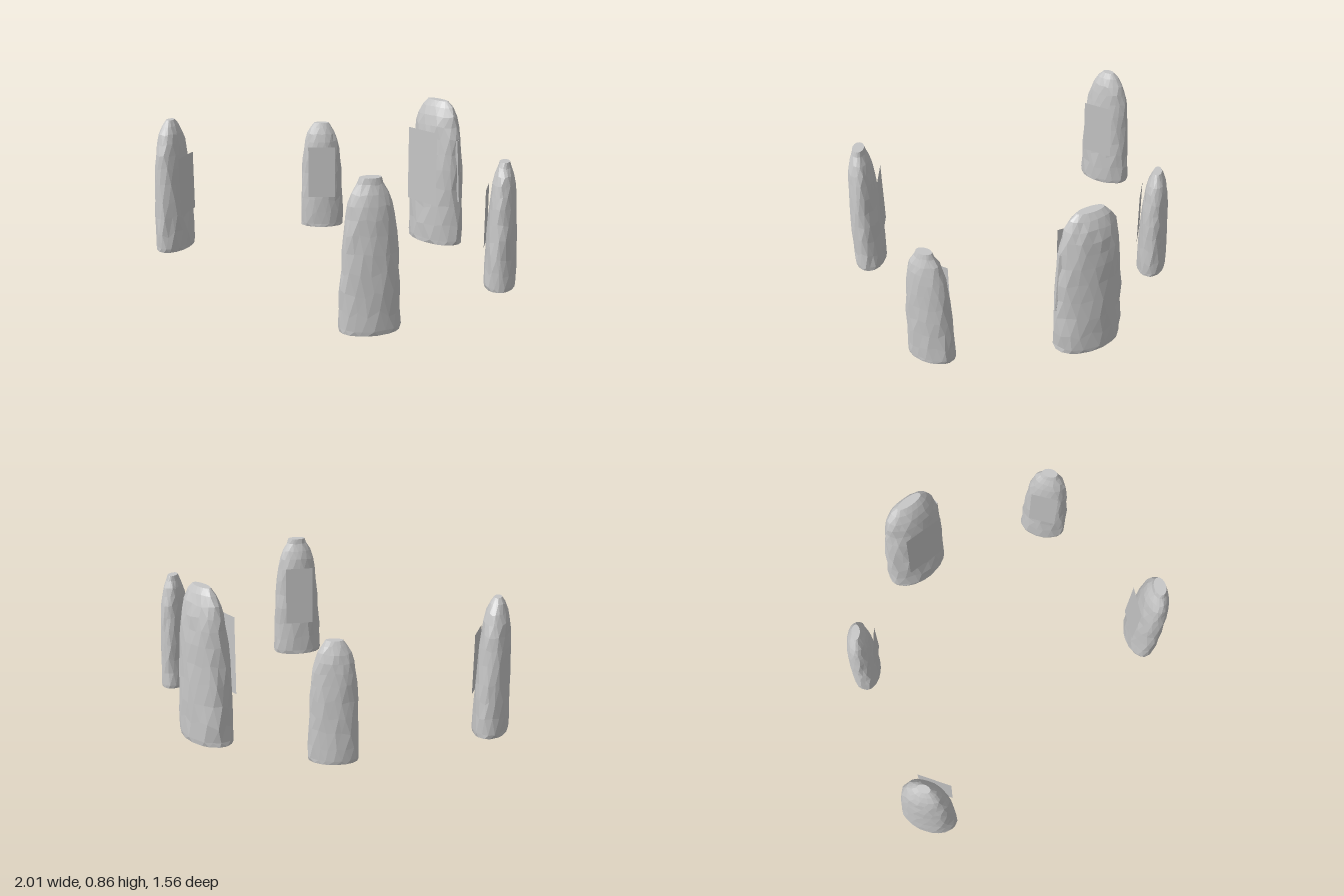
import * as THREE from 'three';

// Small seeded generator for the rough stone surface
function seeded(seed) {
  let s = seed;
  return () => {
    s = (s * 16807) % 2147483647;
    return s / 2147483647;
  };
}

// Height fraction and radius fraction, from foot to crown
const PROFILE = [
  [0, 0.98], [0.03, 1], [0.14, 0.99], [0.27, 0.97], [0.4, 0.94], [0.53, 0.9],
  [0.65, 0.85], [0.75, 0.79], [0.83, 0.71], [0.9, 0.59], [0.96, 0.41], [1, 0.2],
];
const SIDES = 18;

// Weathered upright stone: jittered elliptical rings joined in loops
function stoneGeometry({ a, b, h, top, dome, seed }) {
  const rnd = seeded(seed);
  const jitter = (amount) => (rnd() * 2 - 1) * amount;
  const pos = [];
  const index = [];
  const last = PROFILE.length - 1;
  PROFILE.forEach(([f, r], i) => {
    const inner = i > 0 && i < last;
    for (let j = 0; j < SIDES; j++) {
      const t = ((j + (i % 2) * 0.5 + jitter(0.22)) / SIDES) * Math.PI * 2;
      const k = Math.max(r, top);
      const rough = 1 + (inner ? jitter(0.035) : 0);
      // ripple of the ring heights fades towards the crown
      const y = h * f + (i > 1 && i < last ? jitter(0.02 * (1 - f) + 0.003) : 0);
      pos.push(a * rough * k ** dome * Math.cos(t), y, b * rough * k * Math.sin(t));
    }
  });
  for (let i = 0; i < last; i++) {
    for (let j = 0; j < SIDES; j++) {
      const p = i * SIDES + j;
      const q = i * SIDES + ((j + 1) % SIDES);
      const u = p + SIDES;
      const v = q + SIDES;
      // diagonals follow the half-step offset between rings
      if (i % 2 === 0) index.push(p, u, q, q, u, v);
      else index.push(p, u, v, p, v, q);
    }
  }
  // Foot and crown caps
  const foot = pos.length / 3;
  pos.push(0, 0, 0, 0, h, 0);
  for (let j = 0; j < SIDES; j++) {
    const n = (j + 1) % SIDES;
    index.push(foot, j, n);
    index.push(foot + 1, last * SIDES + n, last * SIDES + j);
  }
  const g = new THREE.BufferGeometry();
  g.setAttribute('position', new THREE.Float32BufferAttribute(pos, 3));
  g.setIndex(index);
  g.computeVertexNormals();
  return g;
}

// Ring of stones: position, half width a, half depth b, height, facing angle, panel
const STONES = [
  { name: 'backStone', x: 0.152, z: -0.663, a: 0.197, b: 0.121, h: 0.86, top: 0.22, dome: 0.6, turn: -0.12, seed: 11,
    panel: { w: 0.24, y0: 0.25, y1: 0.69, out: 0.12, x: 0 } },
  { name: 'backRightStone', x: -0.542, z: -0.377, a: 0.135, b: 0.084, h: 0.66, top: 0.28, dome: 0.85, turn: 0.785, seed: 257,
    panel: { w: 0.165, y0: 0.2, y1: 0.52, out: 0.085, x: 0 } },
  { name: 'backLeftStone', x: 0.902, z: -0.288, a: 0.14, b: 0.085, h: 0.69, top: 0.32, dome: 1, turn: -1.05, seed: 3911,
    panel: { w: 0.16, y0: 0.23, y1: 0.545, out: 0.085, x: 0 } },
  { name: 'frontRightStone', x: -0.89, z: 0.522, a: 0.163, b: 0.099, h: 0.77, top: 0.22, dome: 1, turn: 2.025, seed: 70001,
    panel: { w: 0.19, y0: 0.22, y1: 0.565, out: 0.097, x: -0.015 } },
  { name: 'frontLeftStone', x: 0.787, z: 0.637, a: 0.154, b: 0.094, h: 0.77, top: 0.35, dome: 1, turn: -2.156, seed: 90210,
    panel: { w: 0.175, y0: 0.22, y1: 0.59, out: 0.098, x: 0 } },
];

export function createModel() {
  const model = new THREE.Group();
  model.name = 'stoneCircle';
  const grey = new THREE.MeshStandardMaterial({ color: 0xc6c6c6, flatShading: true, side: THREE.DoubleSide });
  grey.name = 'stone grey';

  for (const s of STONES) {
    const group = new THREE.Group();
    group.name = s.name;
    group.position.set(s.x, 0, s.z);
    group.rotation.y = s.turn;

    const stone = new THREE.Mesh(stoneGeometry(s), grey);
    stone.name = 'standingStone';
    group.add(stone);

    // Flat panel facing the middle of the circle
    const { w, y0, y1, out, x } = s.panel;
    const panel = new THREE.Mesh(new THREE.PlaneGeometry(w, y1 - y0), grey);
    panel.name = 'facePanel';
    panel.position.set(x, (y0 + y1) / 2, out);
    group.add(panel);
    model.add(group);
  }

  // Split flake standing off the left edge of the tallest stone
  const flake = new THREE.Mesh(new THREE.CylinderGeometry(0.024, 0.008, 0.37, 6), grey);
  flake.name = 'splitFlake';
  flake.position.set(0.176, 0.455, 0);
  flake.rotation.z = 0.09;
  model.children[0].add(flake);

  return model;
}
